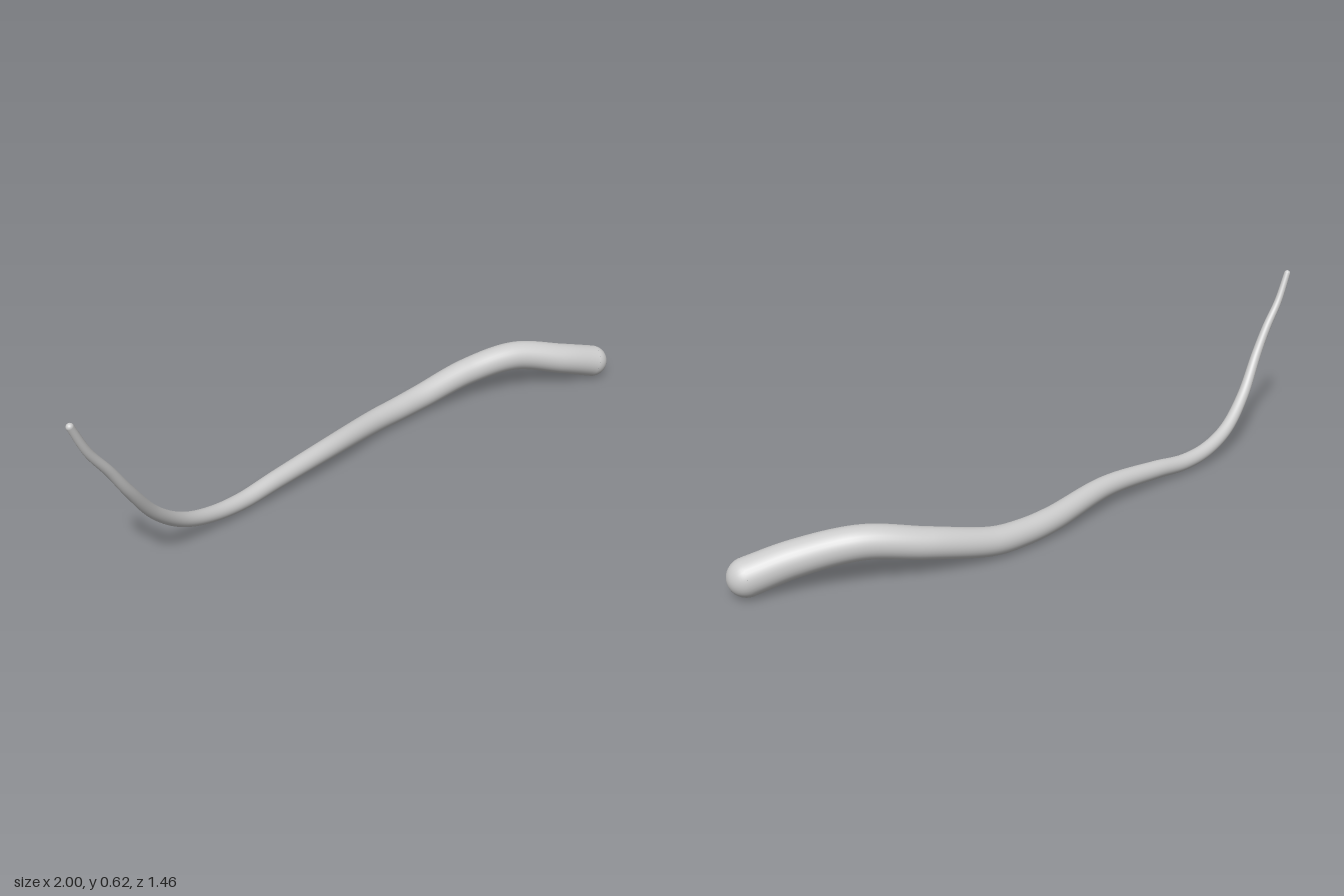
import * as THREE from 'three';

const SEGMENTS = 160, SIDES = 32;
const THICK = 0.062, THIN = 0.012;

export function createModel() {
  const group = new THREE.Group();
  group.name = 'taperedTail';
  const material = new THREE.MeshStandardMaterial({ color: 0xcccccc });

  // Centre line from the thick end to the raised tip
  const path = new THREE.CatmullRomCurve3([
    [0.938, 0.067, -0.669], [0.8, 0.104, -0.63], [0.6, 0.14, -0.605], [0.4, 0.108, -0.555],
    [0.2, 0.06, -0.455], [0.1, 0.052, -0.38], [0, 0.055, -0.29], [-0.2, 0.071, -0.07],
    [-0.4, 0.056, 0.105], [-0.52, 0.042, 0.205], [-0.62, 0.055, 0.295], [-0.71, 0.1, 0.39],
    [-0.79, 0.195, 0.495], [-0.855, 0.33, 0.588], [-0.9, 0.425, 0.635], [-0.95, 0.515, 0.68],
    [-0.988, 0.618, 0.715],
  ].map((p) => new THREE.Vector3(...p)));
  path.arcLengthDivisions = 600;

  // Body: a unit tube whose rings shrink evenly along the path
  const body = new THREE.TubeGeometry(path, SEGMENTS, 1, SIDES, false);
  const pos = body.attributes.position;
  const v = new THREE.Vector3();
  for (let i = 0; i <= SEGMENTS; i++) {
    const t = i / SEGMENTS;
    const centre = path.getPointAt(t);
    const radius = THREE.MathUtils.lerp(THICK, THIN, t);
    for (let j = 0; j <= SIDES; j++) {
      const k = i * (SIDES + 1) + j;
      v.fromBufferAttribute(pos, k).sub(centre).multiplyScalar(radius).add(centre);
      pos.setXYZ(k, v.x, v.y, v.z);
    }
  }
  const bodyMesh = new THREE.Mesh(body, material);
  bodyMesh.name = 'body';
  group.add(bodyMesh);

  // Rounded ends: hemispheres facing outwards along the path
  const addCap = (name, t, radius, direction) => {
    const cap = new THREE.Mesh(
      new THREE.SphereGeometry(radius, SIDES, 12, 0, Math.PI * 2, 0, Math.PI / 2), material);
    cap.name = name;
    cap.position.copy(path.getPointAt(t));
    cap.quaternion.setFromUnitVectors(
      new THREE.Vector3(0, 1, 0), path.getTangentAt(t).multiplyScalar(direction));
    group.add(cap);
  };
  addCap('thickEnd', 0, THICK, -1);
  addCap('tip', 1, THIN, 1);

  return group;
}
